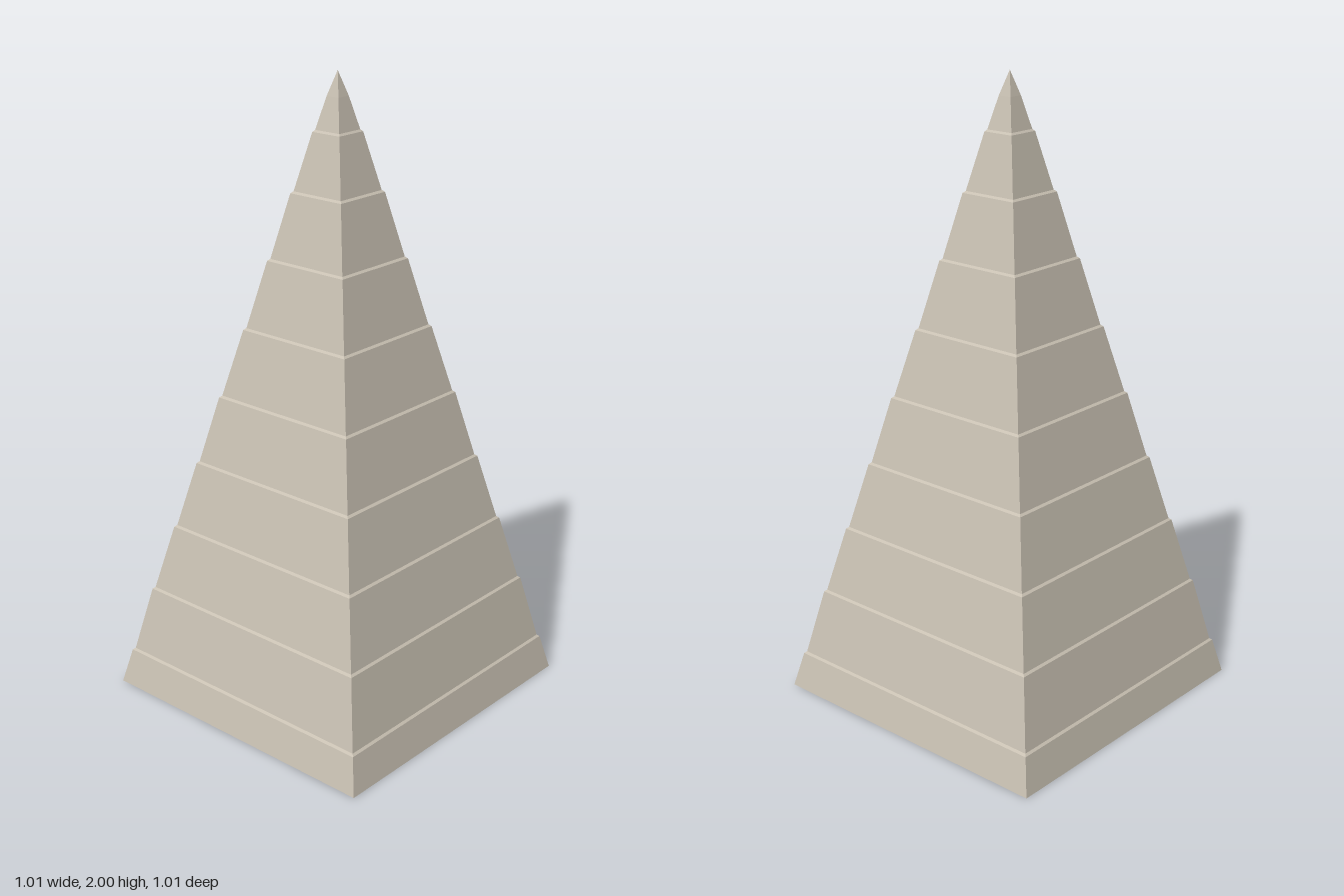
import * as THREE from 'three';

export function createModel() {
  const group = new THREE.Group();
  const stone = new THREE.MeshStandardMaterial({ color: 0xc8c0b2, flatShading: true, side: THREE.DoubleSide });
  stone.name = 'pale stone';

  // open square band between two heights, given half widths
  const band = (name, y0, w0, y1, w1) => {
    const geo = new THREE.CylinderGeometry(w1 * Math.SQRT2, w0 * Math.SQRT2, y1 - y0, 4, 1, true);
    geo.rotateY(Math.PI / 4);
    geo.translate(0, (y0 + y1) / 2, 0);
    const mesh = new THREE.Mesh(geo, stone);
    mesh.name = name;
    group.add(mesh);
  };

  // height, outer half width and inner half width of each step
  const steps = [
    [0.115, 0.477, 0.470], [0.336, 0.425, 0.418], [0.555, 0.370, 0.363],
    [0.774, 0.315, 0.308], [0.993, 0.261, 0.254], [1.212, 0.205, 0.198],
    [1.43, 0.151, 0.144], [1.637, 0.100, 0.093], [1.82, 0.053, 0.047],
  ];
  let y = 0, w = 0.503;
  steps.forEach(([top, outer, inner], i) => {
    band(`tier${i + 1}`, y, w, top, outer);
    band(`ledge${i + 1}`, top, outer, top + 0.006, inner);
    y = top + 0.006;
    w = inner;
  });

  // pointed cap, slightly blunter than the tiers
  band('capBase', y, w, 1.925, 0.023);
  band('capTip', 1.925, 0.023, 2, 0);
  return group;
}
